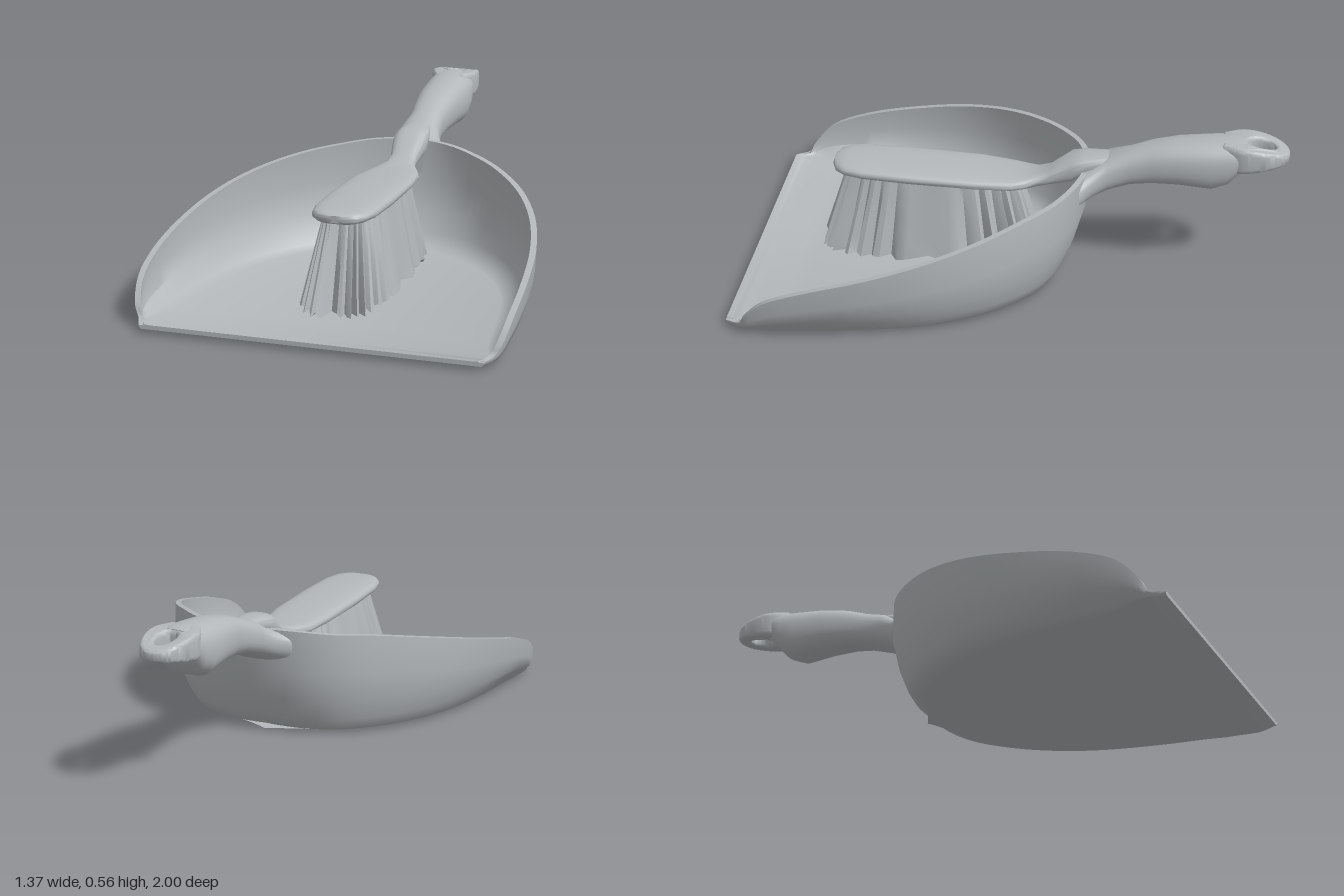
import * as THREE from 'three';
import { toCreasedNormals } from 'three/addons/utils/BufferGeometryUtils.js';

const grey = new THREE.MeshStandardMaterial({ color: 0xb4b8bb });
grey.name = 'plainGrey';

// Skin a list of equal-length point rows; closed rows wrap round, both ends are capped
function skin(rows, closed = true) {
  const n = rows[0].length, pos = [], idx = [];
  rows.forEach((row) => row.forEach((p) => pos.push(...p)));
  for (let i = 0; i < rows.length - 1; i++) {
    for (let j = 0; j < (closed ? n : n - 1); j++) {
      const k = (j + 1) % n;
      const a = i * n + j, b = i * n + k, c = a + n, d = b + n;
      idx.push(a, b, c, b, d, c);
    }
  }
  [0, rows.length - 1].forEach((r) => {
    const centre = pos.length / 3;
    pos.push(...[0, 1, 2].map((c) => rows[r].reduce((s, p) => s + p[c], 0) / n));
    for (let j = 0; j < n; j++) {
      const a = r * n + j, b = r * n + ((j + 1) % n);
      idx.push(centre, ...(r === 0 ? [b, a] : [a, b]));
    }
  });
  const g = new THREE.BufferGeometry();
  g.setAttribute('position', new THREE.Float32BufferAttribute(pos, 3));
  g.setIndex(idx);
  return g;
}

const power = (v, p) => Math.sign(v) * Math.abs(v) ** p;

// Loft along z through rounded sections given as [z, halfWidth, yBottom, yTop]
function loft(sections, p) {
  return skin(sections.map(([z, w, y0, y1]) => Array.from({ length: 32 }, (_, j) => {
    const a = (j / 32) * Math.PI * 2;
    return [w * power(Math.cos(a), p), (y0 + y1) / 2 + ((y1 - y0) / 2) * power(Math.sin(a), p), z];
  })));
}

// Thin pan shell: a section swept around the U-shaped rim and floor outlines
function panGeometry() {
  // rim x, y, z and floor edge x, z, from the back centre to the front corner
  const half = [
    [0, 0.42, -0.27, 0, -0.17], [0.15, 0.415, -0.24, 0.14, -0.165],
    [0.28, 0.4, -0.17, 0.27, -0.12], [0.4, 0.385, -0.06, 0.38, -0.03],
    [0.52, 0.355, 0.09, 0.48, 0.1], [0.61, 0.315, 0.27, 0.56, 0.27],
    [0.665, 0.265, 0.48, 0.61, 0.48], [0.685, 0.21, 0.7, 0.635, 0.68],
    [0.68, 0.15, 0.85, 0.645, 0.83], [0.66, 0.075, 0.925, 0.645, 0.91],
    [0.64, 0.04, 0.945, 0.635, 0.94], [0.615, 0.032, 1, 0.61, 1],
  ];
  const mirrored = half.slice(1).reverse().map(([x, y, z, fx, fz]) => [-x, y, z, -fx, fz]);
  const all = [...mirrored, ...half];
  const rim = new THREE.CatmullRomCurve3(all.map((s) => new THREE.Vector3(s[0], s[1], s[2])));
  const foot = new THREE.CatmullRomCurve3(all.map((s) => new THREE.Vector3(s[3], 0, s[4])));
  const rows = [], steps = (all.length - 1) * 4;
  for (let i = 0; i <= steps; i++) {
    const R = rim.getPoint(i / steps), F = foot.getPoint(i / steps), T = foot.getTangent(i / steps);
    const nx = T.z, nz = F.z < 0.9 ? -T.x : 0;
    const fy = Math.max(0, (F.z - 0.8) * 0.09);
    const h = Math.max(0.005, R.y - fy), r = Math.min(0.06, h * 0.3);
    const at = (t, out, y) => [
      F.x + (R.x - F.x) * t + nx * out, y, F.z + (R.z - F.z) * t + nz * out];
    // [blend to rim, outward offset, height]
    const wall = [[0, -r, 0], [0, -r * 0.3, r * 0.25], [0.12, 0, r], [0.35, h * 0.04, h * 0.35],
      [0.6, h * 0.06, h * 0.62], [1, 0, h]];
    const outer = wall.map(([t, o, y]) => at(t, o, fy + y));
    const inner = wall.map(([t, o, y]) => at(t, o - (t === 1 ? 0.022 : 0.015),
      t === 1 ? R.y : fy + y + 0.016 * (1 - t)));
    rows.push([[0, fy, F.z], ...outer, ...inner.reverse(), [0, fy + 0.016, F.z]]);
  }
  return skin(rows, false);
}

// Handle end with a hanging hole, thinning towards the tip
function tipGeometry() {
  const side = [[0.05, 0.765], [0.078, 0.83], [0.076, 0.9], [0.054, 0.96], [0.02, 0.987]];
  const shape = new THREE.Shape();
  shape.moveTo(...side[0]);
  shape.splineThru([...side.slice(1), ...side.slice().reverse().map(([x, y]) => [-x, y])]
    .map(([x, y]) => new THREE.Vector2(x, y)));
  shape.closePath();
  const hole = new THREE.Path();
  hole.absellipse(0, 0.9, 0.046, 0.064, 0, Math.PI * 2, true);
  shape.holes.push(hole);
  const g = new THREE.ExtrudeGeometry(shape, {
    depth: 0.06, bevelThickness: 0.02, bevelSize: 0.012, bevelSegments: 3, curveSegments: 20 });
  g.rotateX(-Math.PI / 2);
  const p = g.attributes.position;
  for (let i = 0; i < p.count; i++) {
    const u = Math.max(0, (-p.getZ(i) - 0.8) / 0.2), t = (p.getY(i) + 0.02) / 0.1;
    p.setY(i, THREE.MathUtils.lerp(0.455 + 0.035 * u, 0.562 - 0.037 * u * u, t));
  }
  return g;
}

// Flared bristle block with uneven vertical tufts
function bristleGeometry() {
  let seed = 7;
  const rand = () => (seed = (seed * 16807) % 2147483647) / 2147483647;
  const n = 96;
  const tufts = Array.from({ length: n }, (_, j) => [(j % 3 === 0 ? 0.03 : 0) + rand() * 0.018, rand() * 0.022]);
  return skin([1, 0.8, 0.5, 0.25, 0].map((t) => tufts.map(([dent, lift], j) => {
    const a = (j / n) * Math.PI * 2;
    const w = 0.095 + 0.068 * t - dent * (0.25 + 0.75 * t);
    const l = 0.33 + 0.105 * t - dent * (0.25 + 0.75 * t);
    return [w * power(Math.cos(a), 0.6) - 0.006 * t, 0.365 - 0.335 * t + lift * t,
      0.325 + 0.005 * t - l * power(Math.sin(a), 0.6)];
  })));
}

export function createModel() {
  const model = new THREE.Group();
  model.name = 'dustpanAndBrush';
  const add = (name, geometry, parent, crease = 0.9) => {
    const mesh = new THREE.Mesh(toCreasedNormals(geometry, crease), grey);
    mesh.name = name;
    parent.add(mesh);
  };
  const dustpan = new THREE.Group();
  dustpan.name = 'dustpan';
  const brush = new THREE.Group();
  brush.name = 'brush';
  model.add(dustpan, brush);

  add('pan', panGeometry(), dustpan);

  // Handle grip, flaring into the back of the pan
  add('handleGrip', loft([
    [-0.84, 0.08, 0.455, 0.562], [-0.81, 0.089, 0.425, 0.565], [-0.78, 0.093, 0.39, 0.565],
    [-0.72, 0.096, 0.365, 0.561], [-0.6, 0.09, 0.375, 0.548], [-0.5, 0.078, 0.372, 0.527],
    [-0.42, 0.07, 0.36, 0.498], [-0.34, 0.08, 0.335, 0.475], [-0.28, 0.105, 0.31, 0.435],
    [-0.24, 0.15, 0.29, 0.418],
  ], 0.8), dustpan);
  add('handleTip', tipGeometry(), dustpan);

  // Brush neck resting on the handle, widening into the head
  add('brushHead', loft([
    [-0.36, 0.04, 0.42, 0.475], [-0.25, 0.065, 0.4, 0.466], [-0.2, 0.066, 0.36, 0.46],
    [-0.12, 0.052, 0.34, 0.4], [-0.07, 0.06, 0.332, 0.382], [-0.03, 0.083, 0.33, 0.375],
    [0.02, 0.103, 0.33, 0.373], [0.15, 0.118, 0.333, 0.384], [0.4, 0.121, 0.34, 0.395],
    [0.58, 0.115, 0.348, 0.4], [0.65, 0.1, 0.353, 0.4], [0.685, 0.075, 0.358, 0.398],
    [0.7, 0.035, 0.366, 0.392],
  ], 0.7), brush);
  add('bristles', bristleGeometry(), brush, 0.6);
  return model;
}
